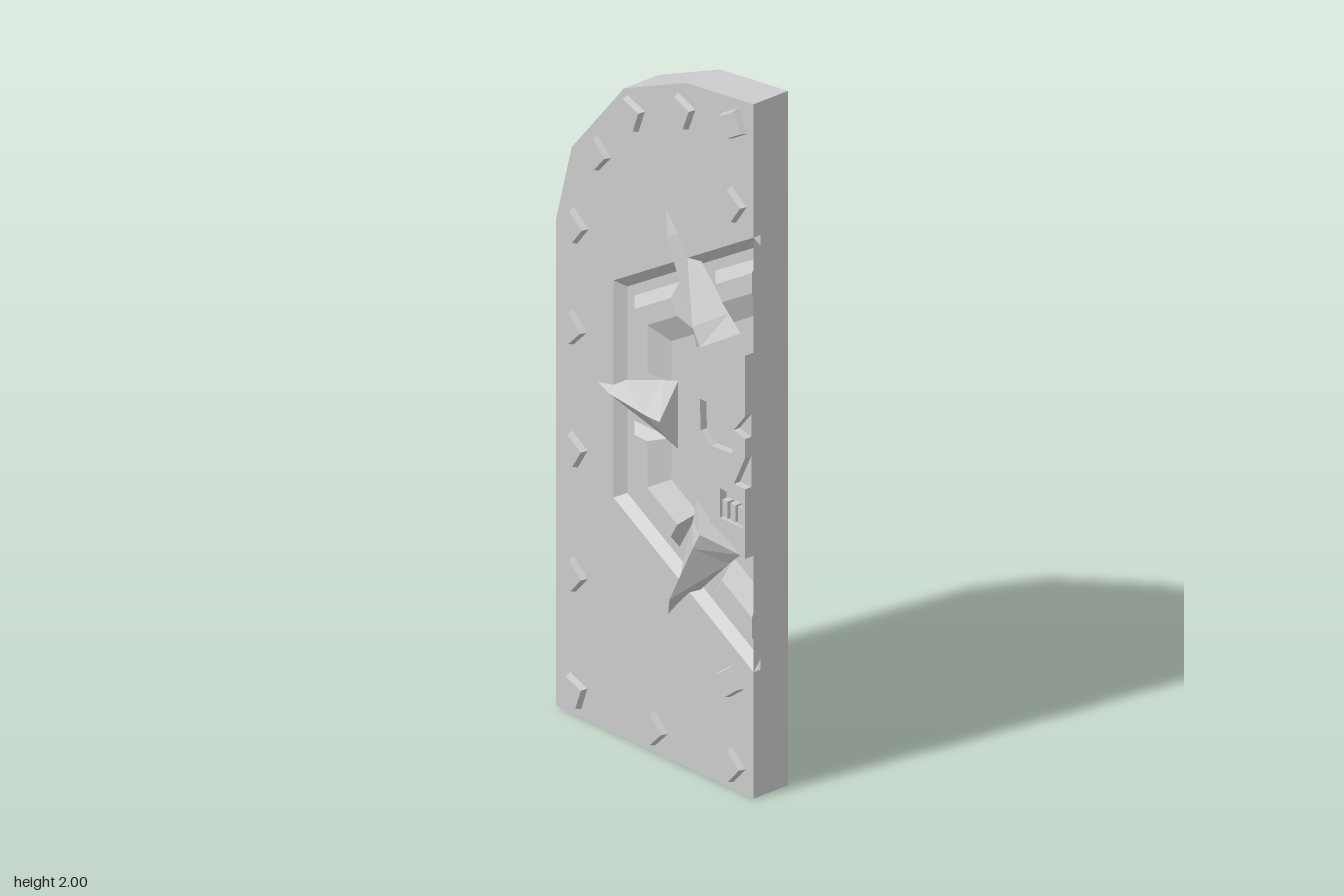
import * as THREE from 'three';

const material = new THREE.MeshStandardMaterial({ color: 0xcccccc, flatShading: true, side: THREE.DoubleSide });
const CX = 0.382, CY = 0.99;            // centre of the half hexagon emblem
const BACK = -0.085, BACK_FLOOR = -0.062, FLOOR = 0.012, FRONT = 0.036;
const rad = THREE.MathUtils.degToRad;

// Joins a row of equal-length loops with flat quads; caps are fans from the first point
function loft(loops, capStart = true, capEnd = true) {
  const pos = [], n = loops[0].length;
  const tri = (a, b, c) => pos.push(...a, ...b, ...c);
  for (let k = 0; k < loops.length - 1; k++) {
    for (let i = 0; i < n; i++) {
      const j = (i + 1) % n, a = loops[k], b = loops[k + 1];
      tri(a[i], a[j], b[j]);
      tri(a[i], b[j], b[i]);
    }
  }
  const first = loops[0], last = loops[loops.length - 1];
  for (let i = 1; i < n - 1; i++) {
    if (capStart) tri(first[0], first[i + 1], first[i]);
    if (capEnd) tri(last[0], last[i], last[i + 1]);
  }
  const g = new THREE.BufferGeometry();
  g.setAttribute('position', new THREE.Float32BufferAttribute(pos, 3));
  g.computeVertexNormals();
  return g;
}

const atZ = (pts, z) => pts.map(([x, y]) => [x, y, z]);

function plate(pts, z0, z1, holes = []) {
  const toV = (list) => list.map(([x, y]) => new THREE.Vector2(x, y));
  const shape = new THREE.Shape(toV(pts));
  shape.holes = holes.map((h) => new THREE.Path(toV(h)));
  return new THREE.ExtrudeGeometry(shape, { depth: z1 - z0, bevelEnabled: false }).translate(0, 0, z0);
}

// Point on a hexagon edge, by apothem, edge angle and offset along the edge
function edgePoint(a, deg, s) {
  const c = Math.cos(rad(deg)), n = Math.sin(rad(deg));
  return [CX + a * c - s * n, CY + a * n + s * c];
}
const corner = (a, deg) => edgePoint(a / Math.cos(rad(30)), deg, 0);
const halfHex = (a) => [90, 150, 210, 270].map((d) => corner(a, d));

export function createModel() {
  const group = new THREE.Group();
  const add = (name, geometry) => {
    const mesh = new THREE.Mesh(geometry, material);
    mesh.name = name;
    group.add(mesh);
    return mesh;
  };

  // Door leaf in three layers: back frame, core, front with emblem recess
  const arch = [[0.382, 2], [0.12, 1.97], [-0.12, 1.87], [-0.322, 1.63], [-0.383, 1.4], [-0.383, 0]];
  const outline = [...arch, [0.382, 0]];
  const recess = [[0.28, 0.1], [0.28, 1.905], [-0.07, 1.78], [-0.286, 1.355], [-0.286, 0.1]];
  const recessFoot = [[0.26, 0.12], [0.26, 1.89], [-0.06, 1.765], [-0.27, 1.35], [-0.27, 0.12]];
  add('backFrame', plate(outline, BACK, BACK_FLOOR, [recess]));
  add('backBevel', loft([atZ(recess, BACK), atZ(recessFoot, BACK_FLOOR)], false, false));
  add('core', plate(outline, BACK_FLOOR, FLOOR));
  add('frontFace', plate([...arch, [0.382, 0], ...halfHex(0.542).reverse()], FLOOR, FRONT));
  add('recessBevel', loft([atZ(halfHex(0.542), FRONT), atZ(halfHex(0.515), FLOOR)], false, false));

  // Raised panel on the back
  const panelFoot = [[0.195, 0.18], [0.195, 1.79], [-0.025, 1.705], [-0.22, 1.34], [-0.22, 0.18]];
  const panelTop = [[0.175, 0.2], [0.175, 1.765], [-0.013, 1.685], [-0.198, 1.333], [-0.198, 0.2]];
  add('backPanel', loft([atZ(panelTop, -0.082), atZ(panelFoot, BACK_FLOOR)]));

  // Sloped emblem bars, broken where the spikes pass
  const levels = [[0.345, 0.487, 0.08, FLOOR], [0.405, 0.455, 0.1, 0.042]];
  for (const v of [150, 210]) {
    add('cornerBar', loft(levels.map(([i, o, g, z]) => atZ([
      corner(i, v), edgePoint(i, v - 30, g), edgePoint(o, v - 30, g),
      corner(o, v), edgePoint(o, v + 30, -g), edgePoint(i, v + 30, -g),
    ], z))));
  }
  add('upperBar', loft(levels.map(([i, o, g, z]) => atZ(
    [corner(i, 90), corner(o, 90), edgePoint(o, 120, -g), edgePoint(i, 120, -g)], z))));
  add('lowerBar', loft(levels.map(([i, o, g, z]) => atZ(
    [edgePoint(i, 240, g), edgePoint(o, 240, g), corner(o, 270), corner(i, 270)], z))));

  // Three radiating spikes with a ridge on top
  for (const [deg, tip] of [[120, 0.68], [180, 0.6], [240, 0.66]]) {
    const sections = [
      [0.312, 0.098, 0.084], [0.37, 0.08, 0.083], [tip - 0.07, 0.024, 0.064], [tip, 0.001, 0.037],
    ];
    const spike = add('spike', loft(sections.map(([r, w, z]) => {
      const base = r === tip ? 0.034 : 0.018;
      return [[r, -w, base], [r, w, base], [r, 0, z]];
    })));
    spike.rotation.z = rad(deg);
    spike.position.set(CX, CY, 0);
  }

  // Half skull face: pierced plate over a shallower backing
  const skull = [
    [0.382, 1.285], [0.15, 1.14], [0.15, 1.01], [0.12, 0.945], [0.155, 0.9], [0.245, 0.87],
    [0.215, 0.845], [0.245, 0.76], [0.382, 0.7],
  ];
  const noseAndBrow = [[0.382, 0.9], [0.338, 0.9], [0.382, 0.99], [0.382, 1.045], [0.337, 1.055], [0.382, 1.11]];
  const eye = [[0.207, 1.1], [0.24, 1.1], [0.345, 1.035], [0.33, 0.985], [0.25, 0.98], [0.21, 1.01]];
  const mouth = [[0.285, 0.87], [0.372, 0.86], [0.372, 0.785], [0.285, 0.785]];
  add('skullBacking', plate(skull, FLOOR, 0.044));
  add('skullFace', plate([...skull, ...noseAndBrow], 0.044, 0.066, [eye, mouth]));
  for (const x of [0.303, 0.333, 0.362]) {
    add('tooth', new THREE.BoxGeometry(0.02, 0.05, 0.025).translate(x, 0.815, 0.052));
  }

  // Square studs around the rim: x, y, turn in degrees
  const studs = [
    [0.31, 1.92, 30], [0.11, 1.885, -22], [-0.085, 1.81, -20], [-0.22, 1.65, -42], [-0.307, 1.41, -38],
    [-0.315, 1.115, -45], [-0.31, 0.765, -32], [-0.31, 0.405, -42], [-0.307, 0.07, -20], [0, 0.07, -45],
    [0.3, 0.07, -42], [0.297, 0.31, 37], [0.305, 1.685, -35],
  ];
  const square = (h, z) => atZ([[-h, -h], [h, -h], [h, h], [-h, h]], z);
  const studGeometry = loft([square(0.037, FRONT - 0.004), square(0.031, 0.054)]);
  for (const [x, y, turn] of studs) {
    const stud = add('stud', studGeometry);
    stud.position.set(x, y, 0);
    stud.rotation.z = rad(turn);
  }
  return group;
}
